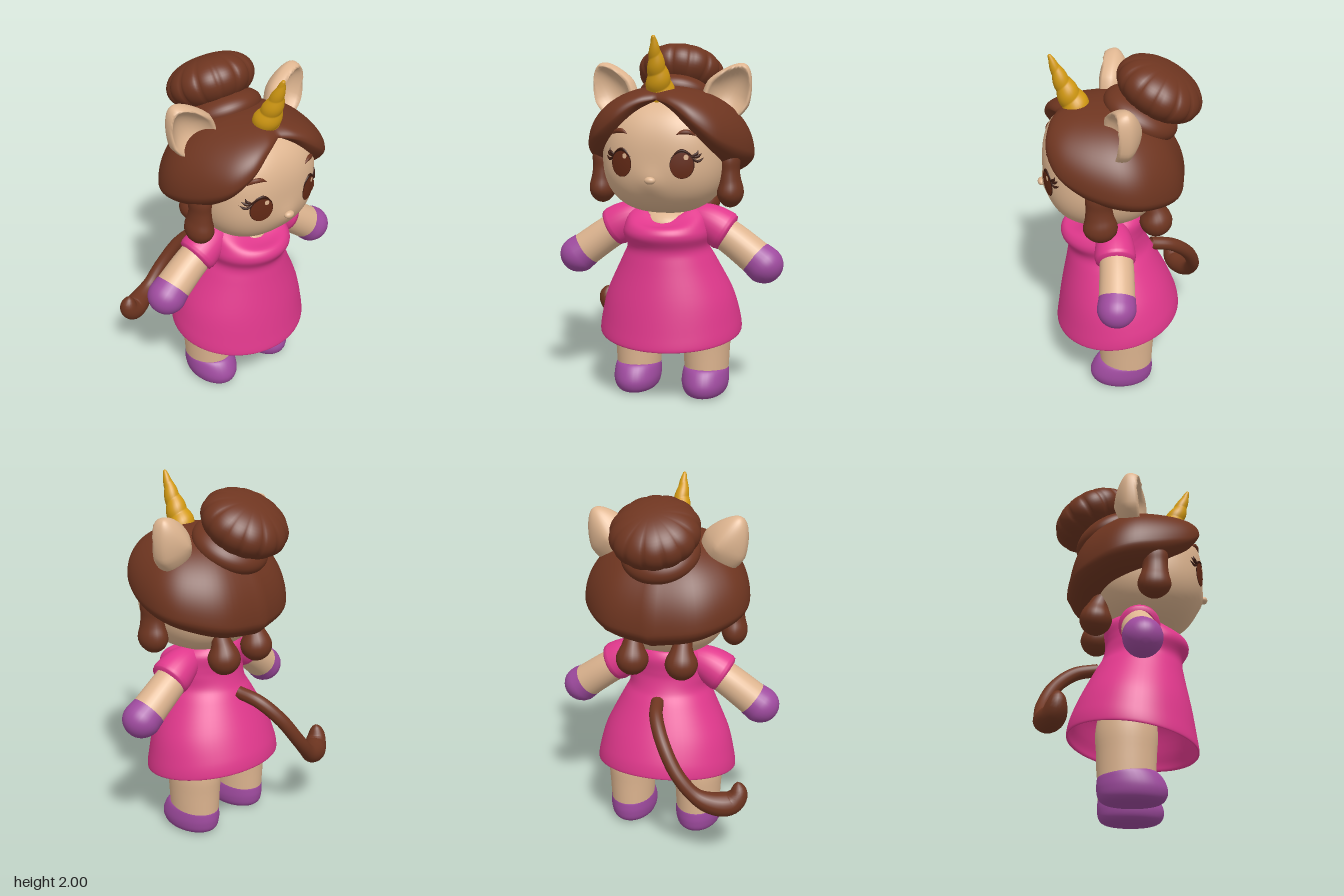
import * as THREE from 'three';
import { mergeVertices } from 'three/addons/utils/BufferGeometryUtils.js';

const mat = (name, color, side = THREE.FrontSide) => {
  const m = new THREE.MeshStandardMaterial({ color, side });
  m.name = name;
  return m;
};

// Weld seams and recompute smooth normals
function weld(geo) {
  geo.deleteAttribute('uv');
  geo.deleteAttribute('normal');
  const g = mergeVertices(geo, 1e-5);
  g.computeVertexNormals();
  return g;
}

// Closed-around surface: fn(t from top to bottom, angle from the front towards +x) -> [x, y, z]
function surface(rows, sides, fn) {
  const pos = [], idx = [];
  for (let i = 0; i <= rows; i++)
    for (let j = 0; j <= sides; j++) pos.push(...fn(i / rows, ((j % sides) / sides) * Math.PI * 2));
  for (let i = 0; i < rows; i++)
    for (let j = 0; j < sides; j++) {
      const a = i * (sides + 1) + j, b = a + sides + 1;
      idx.push(a, b, b + 1, a, b + 1, a + 1);
    }
  const g = new THREE.BufferGeometry();
  g.setAttribute('position', new THREE.Float32BufferAttribute(pos, 3));
  g.setIndex(idx);
  return weld(g);
}

// Smooth interpolation through a short list of rows
function sampler(rows) {
  const it = new THREE.CubicInterpolant(rows.map((_, i) => i), rows.flat(), rows[0].length);
  return t => it.evaluate(t * (rows.length - 1));
}

// Loft from rows of [y, half width, front z, back z]
function loft(rows, steps, sides, bend = () => 0) {
  const s = sampler(rows);
  return surface(steps, sides, (t, a) => {
    const [y, rx, zf, zb] = s(t);
    return [Math.sin(a) * rx, y + bend(y, a), (zf + zb) / 2 + Math.cos(a) * (zf - zb) / 2];
  });
}

// Tube along points with a radius rule r(t, angle)
function taper(points, r, seg = 24, sides = 20) {
  const curve = new THREE.CatmullRomCurve3(points.map(p => new THREE.Vector3(...p)));
  const g = new THREE.TubeGeometry(curve, seg, 1, sides);
  const p = g.attributes.position, v = new THREE.Vector3();
  for (let i = 0; i <= seg; i++) {
    const c = curve.getPointAt(i / seg);
    for (let j = 0; j <= sides; j++) {
      const k = i * (sides + 1) + j;
      v.fromBufferAttribute(p, k).sub(c).multiplyScalar(r(i / seg, ((j % sides) / sides) * Math.PI * 2)).add(c);
      p.setXYZ(k, v.x, v.y, v.z);
    }
  }
  return weld(g);
}

// Radius rule from a list, with a round end beyond `from`
const radii = (list, from = 1) => {
  const s = sampler(list.map(v => [v]));
  return t => Math.max(0, s(t)[0]) * (t > from ? Math.sqrt(1 - ((t - from) / (1 - from)) ** 2) : 1);
};

// Head is a rounded box-like ellipsoid
const HEAD = { a: 0.338, b: 0.325, c: 0.325, y: 1.375, z: 0.12, n: 2.5 };
const faceZ = (x, y) => HEAD.z + HEAD.c * Math.pow(Math.max(0,
  1 - Math.abs(x / HEAD.a) ** HEAD.n - Math.abs((y - HEAD.y) / HEAD.b) ** HEAD.n), 1 / HEAD.n);

export function createModel() {
  const root = new THREE.Group();
  const skin = mat('skin', 0xdeb590), brown = mat('hair brown', 0x6e3520, THREE.DoubleSide);
  const pink = mat('dress pink', 0xe0388c, THREE.DoubleSide), purple = mat('hoof purple', 0x9f4b9f);
  const gold = mat('horn gold', 0xd39a12), iris = mat('eye brown', 0x642a16), dark = mat('lash dark', 0x3a1a10);
  const add = (name, geo, m) => {
    const mesh = new THREE.Mesh(geo, m);
    mesh.name = name;
    root.add(mesh);
    return mesh;
  };

  // Head with a slight muzzle, nose, neck
  add('head', surface(48, 72, (t, a) => {
    const p = t * Math.PI, d = [Math.sin(p) * Math.sin(a), Math.cos(p), Math.sin(p) * Math.cos(a)];
    const { a: A, b, c, n } = HEAD;
    const k = (Math.abs(d[0] / A) ** n + Math.abs(d[1] / b) ** n + Math.abs(d[2] / c) ** n) ** (-1 / n);
    const x = d[0] * k, y = HEAD.y + d[1] * k;
    const muzzle = d[2] > 0 ? 0.016 * Math.exp(-(x * x + (y - 1.245) ** 2) / 0.004) : 0;
    return [x, y, HEAD.z + d[2] * k + muzzle];
  }), skin);
  const nose = add('nose', new THREE.SphereGeometry(1, 20, 14), skin);
  nose.scale.set(0.03, 0.02, 0.022);
  nose.position.set(0, 1.26, 0.453);
  const neck = add('neck', new THREE.SphereGeometry(1, 24, 16), skin);
  neck.scale.set(0.17, 0.1, 0.17);
  neck.position.set(0, 0.975, 0.075);

  // Disc laid on the face
  const faceDisc = (name, x, y, rx, ry, lift, m) => {
    const g = new THREE.RingGeometry(0.001, 1, 32, 6), p = g.attributes.position;
    for (let i = 0; i < p.count; i++) {
      const px = x + p.getX(i) * rx, py = y + p.getY(i) * ry;
      p.setXYZ(i, px, py, faceZ(px, py) + lift);
    }
    g.computeVertexNormals();
    add(name, g, m);
  };
  const faceLine = (name, pts, r, m) =>
    add(name, taper(pts.map(([x, y]) => [x, y, faceZ(x, y)]), radii([0, r, r, 0]), 14, 8), m);

  for (const s of [-1, 1]) {
    // Eyes, lashes and brows
    faceDisc('eyeRim', s * 0.163, 1.342, 0.06, 0.071, 0.003, dark);
    faceDisc('iris', s * 0.163, 1.34, 0.057, 0.067, 0.005, iris);
    faceDisc('eyeGlint', s * 0.163 + 0.022, 1.383, 0.012, 0.014, 0.007, skin);
    faceLine('lashLine', [[s * 0.105, 1.375], [s * 0.16, 1.418], [s * 0.23, 1.372]], 0.007, dark);
    for (const [x, y] of [[0.238, 1.42], [0.256, 1.402], [0.264, 1.378]])
      faceLine('lash', [[s * 0.205, 1.385], [s * 0.235, y - 0.018], [s * x, y]], 0.007, dark);
    faceLine('brow', [[s * 0.13, 1.495], [s * 0.155, 1.508], [s * 0.195, 1.508], [s * 0.228, 1.488]], 0.012, brown);

    // Cupped ears with pointed tips and tapering backs
    const ear = new THREE.SphereGeometry(1, 36, 28), p = ear.attributes.position;
    for (let i = 0; i < p.count; i++) {
      const x = p.getX(i), y = p.getY(i), z = p.getZ(i);
      const front = z < 0.5 ? z : 0.5 - (z - 0.5) * 1.5;
      p.setXYZ(i, x * (1 - 0.35 * Math.max(0, y)), y, z < 0 ? z * (1 - 0.35 * Math.hypot(x, y)) : front);
    }
    ear.scale(0.13, 0.18, 0.11);
    const e = add('ear', weld(ear), skin);
    e.position.set(s * 0.32, 1.695, 0.042);
    e.rotation.set(0, s * 0.25, -s * 0.55);

    // Side locks and back knots
    const lock = add('sideLock', taper([[-s * 0.01, 0.3, 0], [-s * 0.005, 0.18, 0.005], [0, 0.08, 0], [0, 0, 0]],
      radii([0.07, 0.075, 0.07, 0.076, 0.09, 0.09, 0.08], 0.72), 32), brown);
    lock.scale.x = 0.78;
    lock.position.set(s * 0.36, 1.09, 0.155);
    add('backKnot', taper([[s * 0.14, 1.25, -0.1], [s * 0.14, 1.13, -0.15], [s * 0.14, 0.975, -0.17]],
      radii([0.06, 0.05, 0.06, 0.086, 0.093, 0.09], 0.64), 32), brown);

    // Sleeves, arms and hoof hands
    add('sleeve', taper([[s * 0.1, 1.03, 0.07], [s * 0.22, 0.997, 0.073], [s * 0.337, 0.932, 0.075]],
      t => t < 0.92 ? 0.06 + 0.052 * Math.sin(t / 0.92 * Math.PI / 2) : t < 0.99 ? 0.107 : 0.085, 28, 28), pink);
    add('arm', taper([[s * 0.2, 1.0, 0.07], [s * 0.35, 0.908, 0.07], [s * 0.505, 0.795, 0.08]],
      t => 0.088 + 0.01 * t, 12, 28), skin);
    add('handHoof', taper([[s * 0.488, 0.808, 0.077], [s * 0.55, 0.76, 0.086], [s * 0.61, 0.702, 0.094]],
      radii([0.099, 0.107, 0.109], 0.3), 40, 28), purple);

    // Legs and hoof shoes
    const leg = add('leg', loft([[0.6, 0.05, 0.09, -0.07], [0.5, 0.12, 0.15, -0.13], [0.38, 0.136, 0.17, -0.155],
      [0.25, 0.13, 0.163, -0.148], [0.09, 0.121, 0.155, -0.14]], 16, 36), skin);
    const shoe = add('footHoof', loft([[0.13, 0.11, 0.13, -0.125], [0.152, 0.123, 0.16, -0.141],
      [0.12, 0.13, 0.195, -0.146], [0.075, 0.131, 0.217, -0.146], [0.032, 0.12, 0.208, -0.137],
      [0.008, 0.097, 0.18, -0.11], [0, 0.06, 0.13, -0.06], [0, 0, 0.04, 0.04]], 35, 36,
    (y, a) => Math.max(0, -y) + 0.015 * Math.cos(a) * THREE.MathUtils.smoothstep(y, 0.06, 0.14)), purple);
    leg.position.x = shoe.position.x = s * 0.2;
  }

  // Dress with scooped neck, sloping hem and lining
  add('dress', loft([[1.07, 0.13, 0.19, -0.06], [1.095, 0.155, 0.21, -0.09], [1.05, 0.215, 0.28, -0.115],
    [0.98, 0.235, 0.345, -0.11], [0.93, 0.24, 0.358, -0.11], [0.86, 0.228, 0.322, -0.13],
    [0.78, 0.266, 0.33, -0.17], [0.6, 0.354, 0.367, -0.25], [0.46, 0.392, 0.39, -0.3],
    [0.385, 0.402, 0.4, -0.315], [0.38, 0.392, 0.39, -0.305], [0.45, 0.377, 0.372, -0.285],
    [0.66, 0.29, 0.31, -0.2], [0.7, 0, 0.06, 0.06]], 78, 64, (y, a) =>
    -0.05 * Math.cos(a) * THREE.MathUtils.clamp((0.85 - y) / 0.4, 0, 1)
    - 0.082 * Math.max(0, Math.cos(a)) ** 2 * THREE.MathUtils.smoothstep(y, 0.97, 1.09)), pink);

  // Hair cap: widest loop from the front parting round to the nape, domed above and rolled under
  const loop = sampler([[0, 1.672, 0.355], [0.1, 1.645, 0.4], [0.22, 1.565, 0.42], [0.335, 1.48, 0.36],
    [0.425, 1.415, 0.2], [0.46, 1.375, 0.02], [0.405, 1.34, -0.13], [0.25, 1.3, -0.275], [0, 1.275, -0.33]]);
  add('hairCap', surface(48, 96, (t, a) => {
    const u = a / Math.PI, h = u > 1 ? 2 - u : u, [x, y, z] = loop(h), sx = u > 1 ? -x : x;
    if (t < 0.55) {
      const f = t / 0.55 * Math.PI / 2, r = Math.sin(f) ** 0.95;
      return [sx * r, y + (1.735 - y) * Math.cos(f), 0.15 + (z - 0.15) * r];
    }
    const f = (t - 0.55) / 0.45 * Math.PI / 2, r = 1 - 0.45 * (1 - Math.cos(f));
    return [sx * r, y - 0.11 * Math.min(1, 0.06 + 2 * h) * Math.sin(f), 0.12 + (z - 0.12) * r];
  }), brown);

  // Bun with scalloped lobes over a smooth base roll
  const bun = (name, R, H, lobe, y, z) => {
    const m = add(name, surface(28, 112, (t, a) => {
      const p = t * Math.PI, q = Math.sin(p);
      const r = R * q ** 0.85 * (1 - lobe * q * (1 - Math.sqrt(Math.abs(Math.sin(7 * a)))));
      return [r * Math.sin(a), H * Math.cos(p), r * Math.cos(a)];
    }), brown);
    m.position.set(0, y, z);
    m.rotation.x = -0.49;
  };
  bun('bun', 0.243, 0.135, 0.05, 1.79, -0.182);
  bun('bunBase', 0.215, 0.1, 0, 1.655, -0.085);

  // Spiral horn
  add('horn', taper([[0, 1.675, 0.24], [0, 1.83, 0.315], [0, 2.0, 0.385]], (t, a) => t === 1 ? 0
    : (0.08 * (1 - t) ** 0.85 + 0.007) * (0.88 + 0.13 * Math.abs(Math.sin(Math.PI * (t * 4 + a / (2 * Math.PI))))),
    70, 28), gold);

  // Tail with a plump hooked tip
  add('tail', taper([[0, 0.82, -0.15], [-0.03, 0.785, -0.27], [-0.1, 0.68, -0.375], [-0.2, 0.53, -0.43],
    [-0.31, 0.415, -0.425], [-0.41, 0.372, -0.39], [-0.48, 0.375, -0.355], [-0.513, 0.42, -0.34],
    [-0.508, 0.495, -0.335]],
  radii([0.036, 0.037, 0.038, 0.038, 0.038, 0.038, 0.039, 0.042, 0.058, 0.068, 0.056, 0.025], 0.95), 64, 20), brown);

  return root;
}
